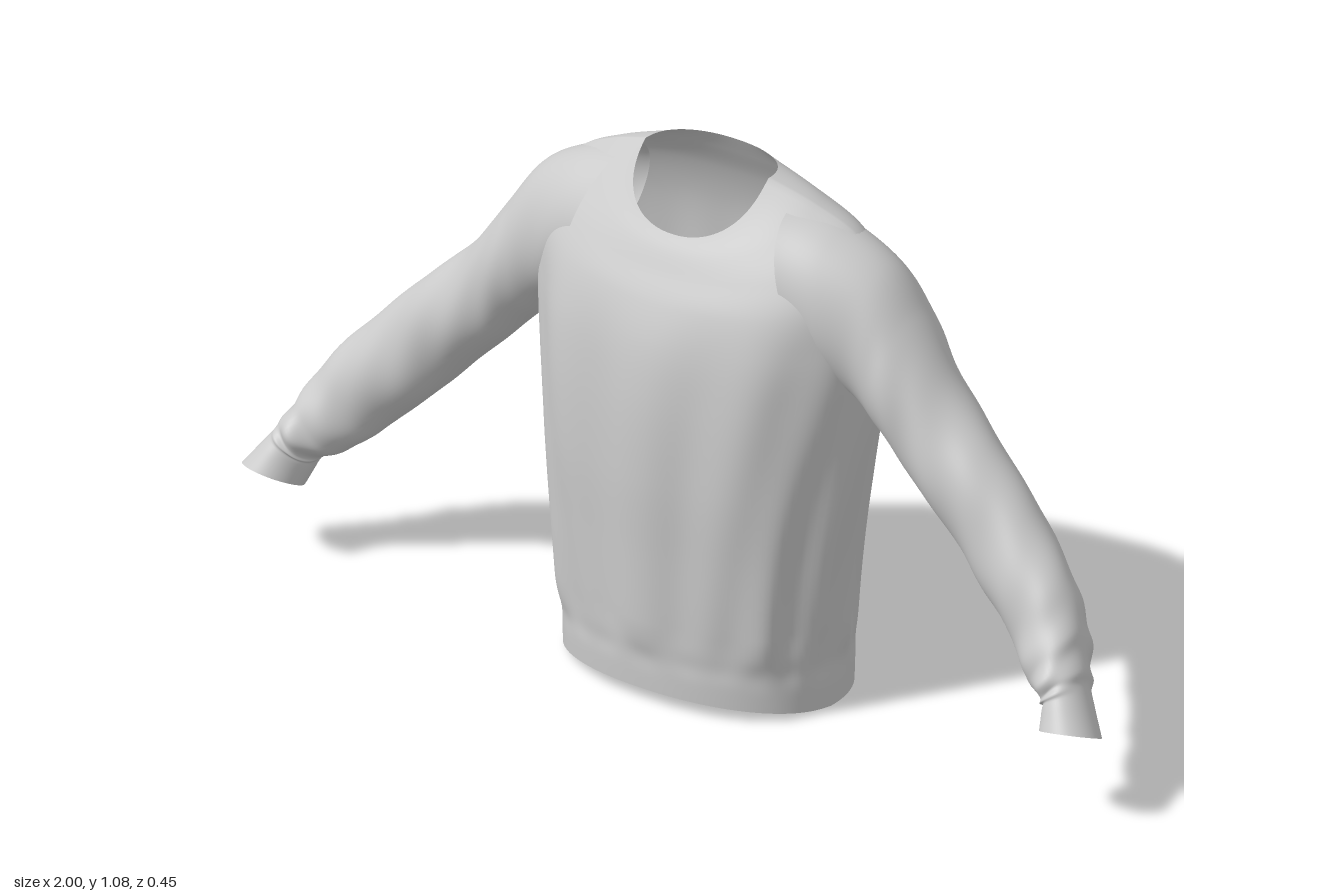
import * as THREE from 'three';

const material = new THREE.MeshStandardMaterial({ color: 0xcccccc, side: THREE.DoubleSide, roughness: 0.9 });
const smooth = THREE.MathUtils.smoothstep;

// Smooth tube of cloth: point(section, angle) gives the outlines, fold(v, angle) swells or pinches them.
function loft(sections, point, fold, segs, rows, mirror = 1) {
  const columns = [];
  for (let j = 0; j < segs; j++) {
    const a = (j / segs) * Math.PI * 2;
    columns.push(new THREE.CatmullRomCurve3(sections.map((s) => point(s, a))));
  }
  const positions = [], index = [];
  for (let i = 0; i <= rows; i++) {
    const v = i / rows;
    const ring = columns.map((c) => c.getPoint(v));
    const centre = ring.reduce((sum, p) => sum.add(p), new THREE.Vector3()).divideScalar(segs);
    ring.forEach((p, j) => {
      const f = 1 + fold(v, (j / segs) * Math.PI * 2);
      p.set(centre.x + (p.x - centre.x) * f, p.y, centre.z + (p.z - centre.z) * f);
      positions.push(p.x * mirror, p.y, p.z);
    });
  }
  for (let i = 0; i < rows; i++) {
    for (let j = 0; j < segs; j++) {
      const k = (j + 1) % segs;
      const a = i * segs + j, b = i * segs + k, c = a + segs, d = b + segs;
      if (mirror > 0) index.push(a, b, c, b, d, c);
      else index.push(a, c, b, b, c, d);
    }
  }
  const geometry = new THREE.BufferGeometry();
  geometry.setAttribute('position', new THREE.Float32BufferAttribute(positions, 3));
  geometry.setIndex(index);
  geometry.computeVertexNormals();
  return geometry;
}

// Body outlines from hem to neckline: half width, front z, back z, side z,
// then y at side, front, back, and how round (1) or flat (less) the front and back are.
const body = [
  [0.294, 0.2, -0.222, 0, 0, 0.028, 0.006, 0.85],
  [0.295, 0.204, -0.224, 0, 0.09, 0.1, 0.09, 0.82],
  [0.301, 0.21, -0.216, 0, 0.18, 0.18, 0.18, 0.8],
  [0.314, 0.216, -0.214, 0, 0.31, 0.32, 0.31, 0.78],
  [0.336, 0.222, -0.213, -0.01, 0.47, 0.48, 0.47, 0.8],
  [0.362, 0.217, -0.212, -0.03, 0.65, 0.65, 0.65, 0.85],
  [0.374, 0.202, -0.206, -0.04, 0.79, 0.76, 0.77, 0.88],
  [0.366, 0.178, -0.19, -0.04, 0.91, 0.835, 0.88, 0.9],
  [0.33, 0.15, -0.16, -0.04, 0.982, 0.89, 0.965, 0.92],
  [0.24, 0.13, -0.122, -0.02, 1.036, 0.928, 1.03, 0.88],
  [0.145, 0.112, -0.094, 0, 1.072, 0.956, 1.075, 0.8],
];

function bodyPoint([w, zf, zb, zs, ys, yf, yb, round], a) {
  const c = Math.cos(a), s = Math.sin(a), front = c > 0;
  const k = Math.abs(c);
  return new THREE.Vector3(
    w * Math.sign(s) * Math.pow(Math.abs(s), 0.93),
    ys + ((front ? yf : yb) - ys) * Math.pow(k, front ? 0.85 : 1.4),
    zs + ((front ? zf : zb) - zs) * Math.pow(k, round));
}

// Hanging drapes that fade out at the hem band and the chest
function bodyFold(v, a) {
  const drape = smooth(v, 0.06, 0.2) * (1 - smooth(v, 0.38, 0.74));
  const hem = Math.exp(-Math.pow((v - 0.1) / 0.03, 2));
  const back = smooth(-Math.cos(a), -0.2, 0.5);
  const lean = (v - 0.3) * Math.sin(a);
  const frontDrape = 0.022 * Math.cos(8 * a + lean * 6) + 0.016 * Math.cos(13 * a - lean * 9);
  const backDrape = 0.024 * Math.cos(15 * a + lean * 2) + 0.012 * Math.cos(22 * a + 0.6);
  return drape * ((1 - back) * frontDrape + back * backDrape)
    - hem * (0.008 + 0.005 * Math.cos(19 * a) * Math.cos(3 * a));
}

// Sleeve outlines from inside the shoulder: upper x, y; lower x, y; front z, back z; lift of the front edge.
const sleeve = [
  [0.2, 1.03, 0.3, 0.74, 0.106, -0.138, 0],
  [0.3, 1.0, 0.335, 0.69, 0.093, -0.15, 0],
  [0.4, 0.943, 0.374, 0.652, 0.071, -0.149, 0],
  [0.468, 0.855, 0.425, 0.605, 0.069, -0.145, 0],
  [0.55, 0.738, 0.5, 0.53, 0.064, -0.128, 0],
  [0.65, 0.643, 0.585, 0.445, 0.06, -0.11, 0],
  [0.75, 0.543, 0.67, 0.36, 0.069, -0.092, 0],
  [0.84, 0.447, 0.75, 0.285, 0.086, -0.07, 0],
  [0.9, 0.357, 0.815, 0.232, 0.118, -0.04, 0],
  [0.93, 0.292, 0.866, 0.208, 0.138, -0.005, 0.01],
  [0.953, 0.25, 0.872, 0.198, 0.145, 0.022, 0.02],
  [1.0, 0.182, 0.882, 0.164, 0.173, 0.05, 0.027],
];

function sleevePoint([ux, uy, lx, ly, zf, zb, lift], a) {
  const c = Math.cos(a), s = Math.sin(a);
  return new THREE.Vector3(
    (ux + lx) / 2 + ((ux - lx) / 2) * c,
    (uy + ly) / 2 + ((uy - ly) / 2) * c + lift * s,
    (zf + zb) / 2 + ((zf - zb) / 2) * s);
}

// Slanting creases along the arm, bunching up just above the cuff
function sleeveFold(v, a) {
  const arm = smooth(v, 0.2, 0.34) * (1 - smooth(v, 0.72, 0.86));
  const bunch = smooth(v, 0.62, 0.78) * (1 - smooth(v, 0.85, 0.91));
  const pinch = Math.exp(-Math.pow((v - 0.895) / 0.025, 2));
  return arm * (0.028 * Math.sin(40 * v + 2 * a) + 0.02 * Math.sin(61 * v - 3 * a + 1))
    + bunch * (0.05 * Math.sin(70 * v + 2 * a) + 0.04 * Math.sin(48 * v - 3 * a)) - pinch * 0.04;
}

export function createModel() {
  const group = new THREE.Group();
  group.name = 'sweatshirt';
  const add = (name, geometry) => {
    const mesh = new THREE.Mesh(geometry, material);
    mesh.name = name;
    group.add(mesh);
  };
  add('body', loft(body, bodyPoint, bodyFold, 144, 100));
  add('leftSleeve', loft(sleeve, sleevePoint, sleeveFold, 56, 120, 1));
  add('rightSleeve', loft(sleeve, sleevePoint, sleeveFold, 56, 120, -1));
  return group;
}
